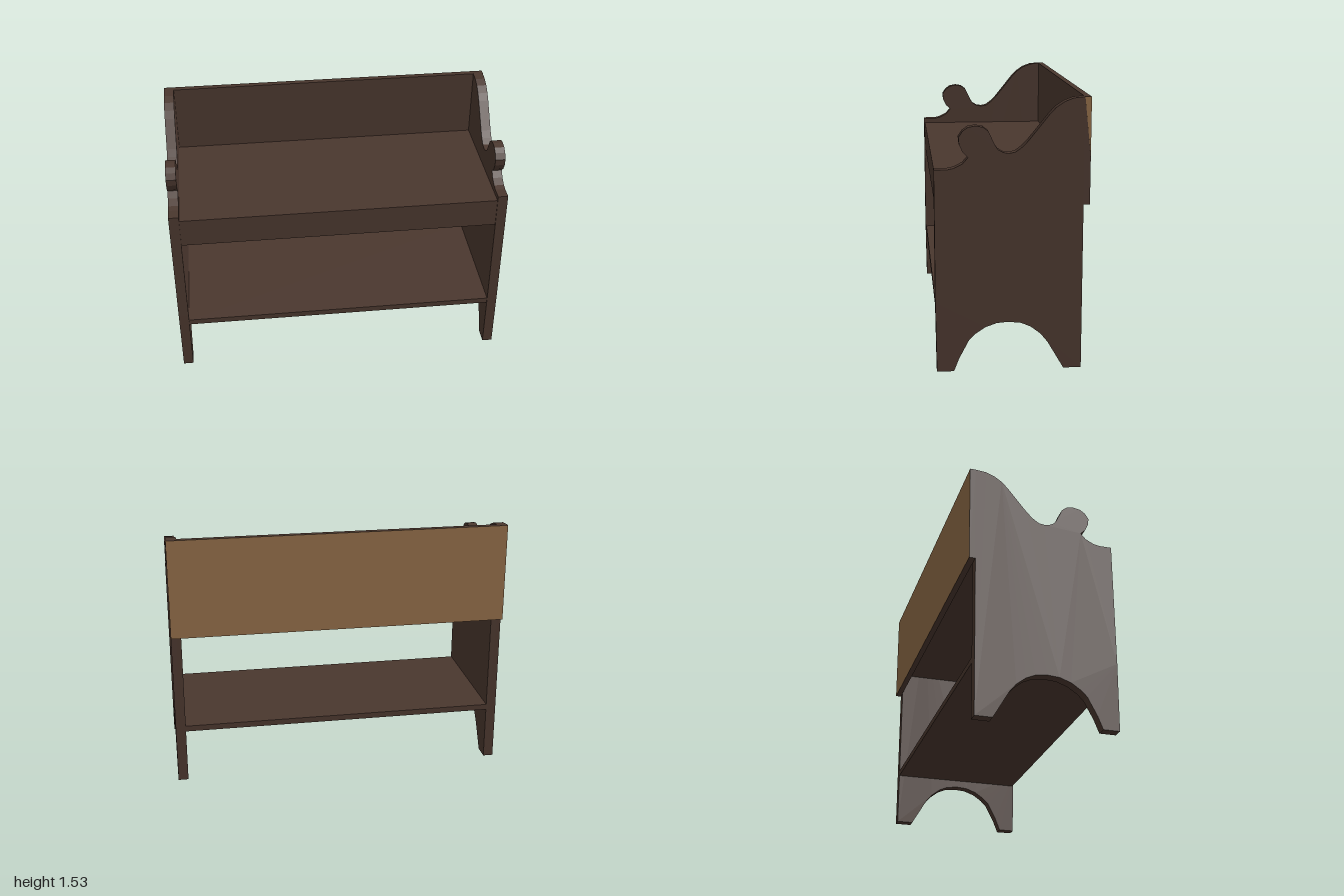
import * as THREE from 'three';

// Side panel outline as [z, y], front foot upward and round to the arch
const OUTLINE = [
  [0.42, 0], [0.425, 0.4], [0.425, 1.145], [0.35, 1.145], [0.315, 1.153], [0.27, 1.176], [0.24, 1.21],
  [0.27, 1.24], [0.288, 1.278], [0.292, 1.318], [0.27, 1.352], [0.24, 1.373], [0.2, 1.38],
  [0.16, 1.373], [0.13, 1.35], [0.095, 1.275], [0.078, 1.25], [0.05, 1.234], [0.02, 1.229],
  [-0.015, 1.235], [-0.05, 1.26], [-0.085, 1.295], [-0.2, 1.438], [-0.235, 1.475], [-0.28, 1.505],
  [-0.33, 1.524], [-0.39, 1.53],
  [-0.39, 0], [-0.29, 0], [-0.2, 0.155], [-0.16, 0.205], [-0.105, 0.248], [-0.05, 0.272],
  [0.02, 0.28], [0.085, 0.275], [0.15, 0.252], [0.205, 0.215], [0.24, 0.18], [0.295, 0.075], [0.325, 0],
];

export function createModel() {
  const bench = new THREE.Group();
  bench.name = 'bench';

  const darkWood = new THREE.MeshStandardMaterial({ color: 0x4a372e });
  darkWood.name = 'dark wood';
  const bareWood = new THREE.MeshStandardMaterial({ color: 0x8f6b47 });
  bareWood.name = 'bare wood';

  const add = (name, geometry, material) => {
    const mesh = new THREE.Mesh(geometry, material);
    mesh.name = name;
    bench.add(mesh);
    return mesh;
  };

  // Board given by its limits on each axis
  const board = (name, [x0, x1], [y0, y1], [z0, z1], material = darkWood) => {
    const mesh = add(name, new THREE.BoxGeometry(x1 - x0, y1 - y0, z1 - z0), material);
    mesh.position.set((x0 + x1) / 2, (y0 + y1) / 2, (z0 + z1) / 2);
    return mesh;
  };

  // Flat z-y outline given thickness along x
  const slab = (points, thickness) => {
    const shape = new THREE.Shape(points.map(([z, y]) => new THREE.Vector2(-z, y)));
    return new THREE.ExtrudeGeometry(shape, { depth: thickness, bevelEnabled: false }).rotateY(Math.PI / 2);
  };

  // Scrolled side panels with arched feet
  const panel = slab(OUTLINE, 0.06);
  add('leftSidePanel', panel, darkWood).position.x = 0.94;
  add('rightSidePanel', panel, darkWood).position.x = -1;

  // Seat, front apron and lower shelf between the panels
  const inner = [-0.94, 0.94];
  board('seat', inner, [1.08, 1.115], [-0.39, 0.42]);
  board('frontApron', inner, [0.94, 1.08], [0.385, 0.42]);
  board('lowerShelf', inner, [0.325, 0.36], [-0.39, 0.42]);

  // Backrest, bare only on its rear face
  board('backrest', [-1, 1], [0.94, 1.53], [-0.425, -0.39],
    [darkWood, darkWood, darkWood, darkWood, darkWood, bareWood]);

  // Bare sliver on the left end of the backrest
  add('backrestEndSliver', slab([[-0.39, 1.53], [-0.425, 1.53], [-0.425, 1.2]], 0.002), bareWood).position.x = 0.999;

  return bench;
}
